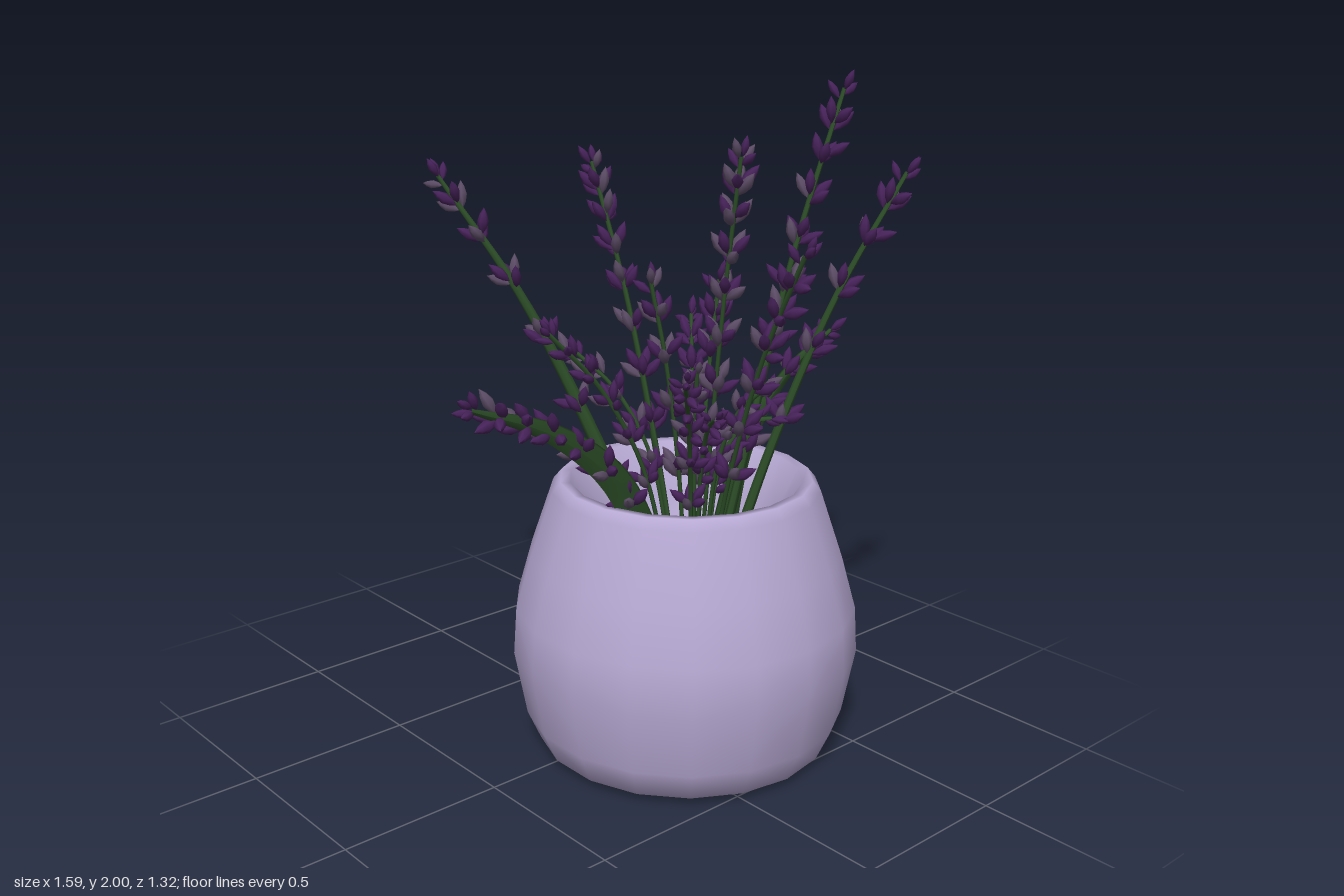
import * as THREE from 'three';
import { mergeGeometries } from 'three/addons/utils/BufferGeometryUtils.js';

const V = (x, y, z) => new THREE.Vector3(x, y, z);
const UP = V(0, 1, 0);

const potMat = new THREE.MeshStandardMaterial({ color: 0xb7a9d3, side: THREE.DoubleSide });
potMat.name = 'lilacCeramic';
const budMat = new THREE.MeshStandardMaterial({ color: 0x47225a });
budMat.name = 'deepPurple';
const paleMat = new THREE.MeshStandardMaterial({ color: 0x5c4c66 });
paleMat.name = 'greyPurple';
const stemMat = new THREE.MeshStandardMaterial({ color: 0x2c4d27 });
stemMat.name = 'darkGreen';

// Rounded pot with a narrow rim, funnelling inward
function makePot() {
  const profile = [
    [0, 0.005], [0.38, 0.005], [0.445, 0.03], [0.485, 0.12], [0.522, 0.32], [0.513, 0.46],
    [0.468, 0.62], [0.4, 0.82], [0.375, 0.85], [0.345, 0.848], [0.27, 0.7],
    [0.23, 0.5], [0, 0.46],
  ].map(([r, y]) => new THREE.Vector2(r, y));
  const pot = new THREE.Mesh(new THREE.LatheGeometry(profile, 18), potMat);
  pot.name = 'pot';
  pot.position.set(0.147, 0, 0.11);
  return pot;
}

// One slim pointed bud, growing up from its origin
const budGeo = new THREE.LatheGeometry(
  [[0, 0], [0.011, 0.018], [0.017, 0.042], [0.011, 0.064], [0, 0.084]]
    .map(([r, y]) => new THREE.Vector2(r, y)), 6);

// Path from inside the pot, over the rim in the tip's direction, bowing up to the tip
function stemCurve(tip) {
  const root = V(0.17, 0.9, 0.12);
  const toward = (f, y) => V(root.x + (tip.x - root.x) * f, y, root.z + (tip.z - root.z) * f);
  const middleY = (root.y + tip.y) / 2 + 0.045;
  return new THREE.CatmullRomCurve3([toward(0.15, 0.48), toward(0.37, root.y), toward(0.67, middleY), tip]);
}

// Stem tube; "blade" widens its lower part into an upright leaf-like ribbon
function makeStem(curve, blade) {
  const segs = 20, sides = 6;
  const geo = new THREE.TubeGeometry(curve, segs, 0.0065, sides);
  const pos = geo.attributes.position;
  for (let i = 0; i < pos.count; i++) {
    const t = Math.floor(i / (sides + 1)) / segs;
    const tangent = curve.getTangentAt(t);
    const wide = tangent.clone().cross(UP).normalize().cross(tangent);
    const p = V().fromBufferAttribute(pos, i);
    const across = p.clone().sub(curve.getPointAt(t)).dot(wide);
    p.addScaledVector(wide, across * blade * (1 - t));
    pos.setXYZ(i, p.x, p.y, p.z);
  }
  geo.computeVertexNormals();
  const mesh = new THREE.Mesh(geo, stemMat);
  mesh.name = 'stem';
  return mesh;
}

// Whorls of buds, closest together at the tip; every so often a bud is pale
function makeBuds(curve, { gap, grow, count, size }, paleEvery) {
  const dark = [], pale = [], length = curve.getLength();
  let made = 0;
  const add = (p, dir, spin, lean, s) => {
    const q = new THREE.Quaternion().setFromUnitVectors(UP, dir)
      .multiply(new THREE.Quaternion().setFromAxisAngle(UP, spin))
      .multiply(new THREE.Quaternion().setFromAxisAngle(V(0, 0, 1), -lean));
    const offset = V(0.008, 0, 0).applyQuaternion(q);
    const m = new THREE.Matrix4().compose(p.clone().add(offset), q, V(s, s, s));
    made++;
    (made % paleEvery === 0 ? pale : dark).push(budGeo.clone().applyMatrix4(m));
  };
  add(curve.getPointAt(1), curve.getTangentAt(1), 0, 0.1, size * 0.7);
  let back = 0.015, step = gap * 0.75, ring = 0;
  while (back < length) {
    const t = 1 - back / length, p = curve.getPointAt(t), dir = curve.getTangentAt(t);
    if (p.y < 0.8) break;
    const n = ring === 0 ? count - 2 : count;
    for (let k = 0; k < n; k++) {
      const along = p.clone().addScaledVector(dir, 0.014 * Math.sin(k * 4.1 + ring));
      add(along, dir, k / n * Math.PI * 2 + ring * 0.7, 0.68 + 0.22 * Math.sin(k * 2.3 + ring),
        size * (ring === 0 ? 0.78 : 1));
    }
    back += step;
    step = Math.min(step + grow, 0.24);
    ring++;
  }
  const group = new THREE.Group();
  group.name = 'buds';
  for (const [name, parts, mat] of [['darkBuds', dark, budMat], ['paleBuds', pale, paleMat]]) {
    const mesh = new THREE.Mesh(mergeGeometries(parts), mat);
    mesh.name = name;
    group.add(mesh);
  }
  return group;
}

const sparse = { gap: 0.12, grow: 0.035, count: 5, size: 1 };
const medium = { gap: 0.125, grow: 0.012, count: 5, size: 1 };
const dense = { gap: 0.1, grow: 0.014, count: 6, size: 1 };
const small = { gap: 0.1, grow: 0.018, count: 5, size: 0.85 };

// Each sprig: tip, bud pattern, how often a bud is pale, blade width
const sprigs = [
  // Long outer sprigs
  { tip: V(-0.21, 1.69, -0.61), style: sparse, blade: 4, paleEvery: 3 },
  { tip: V(0.24, 1.71, -0.43), style: dense, blade: 2 },
  { tip: V(0.5, 1.22, -0.25), style: medium, blade: 3 },
  { tip: V(0.68, 1.95, 0.2), style: medium, blade: 2 },
  { tip: V(0.74, 1.72, 0.4), style: sparse, blade: 2 },
  { tip: V(0.74, 1.2, 0.13), style: medium, blade: 10 },
  { tip: V(0.19, 1.8, 0.27), style: dense, paleEvery: 2 },
  { tip: V(0.09, 1.59, 0.61), style: medium },
  { tip: V(-0.74, 1.26, 0.28), style: medium, blade: 13 },
  // Shorter inner sprigs
  { tip: V(-0.26, 1.32, -0.02), style: small },
  { tip: V(-0.17, 1.26, 0.44), style: small },
  { tip: V(-0.01, 1.19, -0.21), style: small, paleEvery: 3 },
  { tip: V(0.04, 1.44, 0.07), style: sparse, paleEvery: 2 },
  { tip: V(0.03, 1.1, 0.35), style: small },
  { tip: V(0.28, 1.42, 0.1), style: medium },
  { tip: V(0.23, 1.14, 0.33), style: small, paleEvery: 2 },
  { tip: V(0.35, 1.02, 0.26), style: small },
  { tip: V(0.14, 1.18, 0.16), style: small, paleEvery: 2 },
  { tip: V(0.31, 1.1, -0.02), style: small },
];

export function createModel() {
  const model = new THREE.Group();
  model.name = 'pottedLavender';
  model.add(makePot());
  for (const { tip, style, paleEvery = 5, blade = 0 } of sprigs) {
    const curve = stemCurve(tip);
    const sprig = new THREE.Group();
    sprig.name = 'sprig';
    sprig.add(makeStem(curve, blade), makeBuds(curve, style, paleEvery));
    model.add(sprig);
  }
  return model;
}
